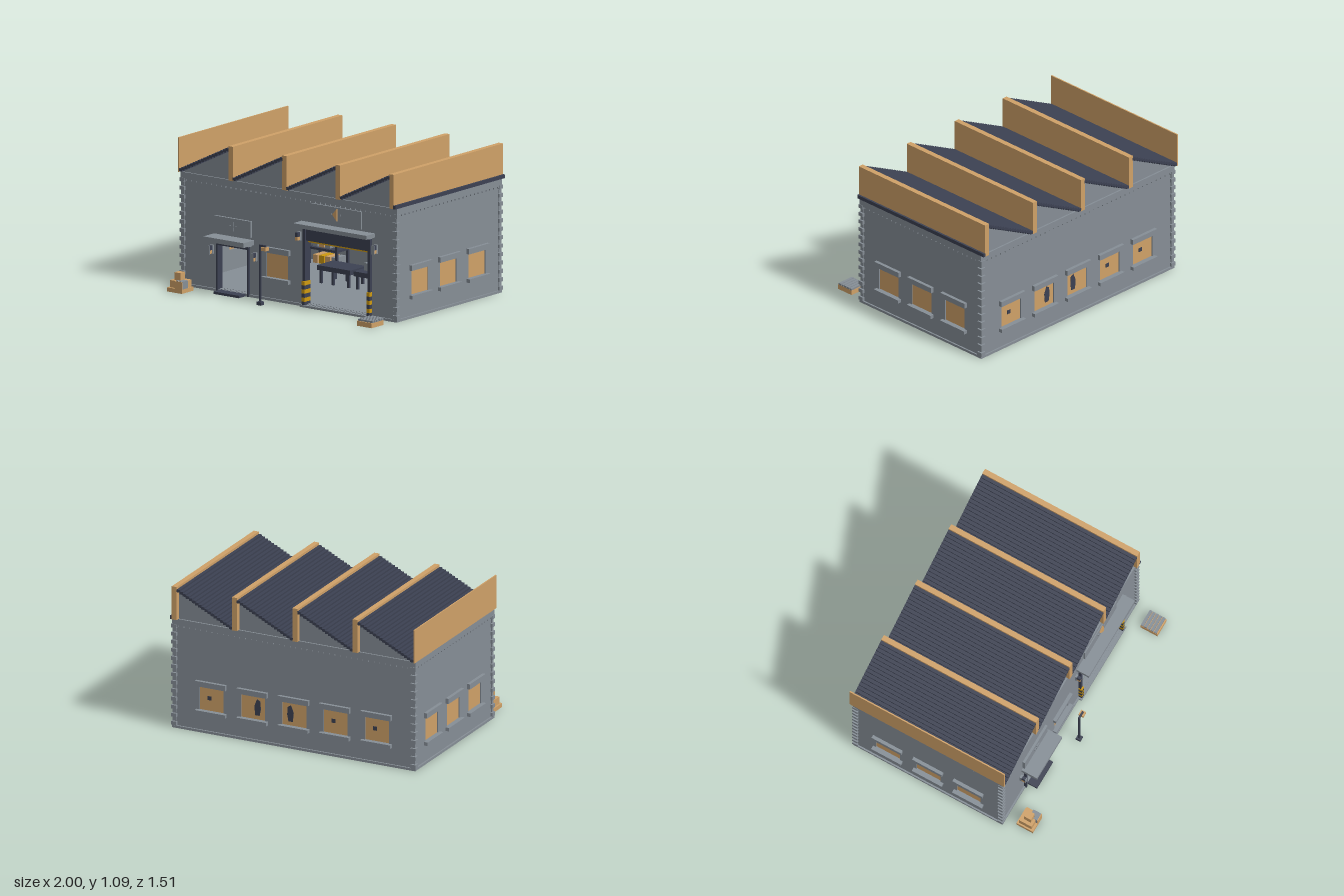
import * as THREE from 'three';

const mat = (name, color) => {
  const m = new THREE.MeshStandardMaterial({ color });
  m.name = name;
  return m;
};

export function createModel() {
  const gray = mat('wall gray', 0x868e96);
  const navy = mat('dark metal', 0x3c4152);
  const tan = mat('amber tan', 0xcfa168);
  const yellow = mat('hazard yellow', 0xcf9a10);

  const model = new THREE.Group();
  model.name = 'factory';
  const group = (name, parent = model) => {
    const g = new THREE.Group();
    g.name = name;
    parent.add(g);
    return g;
  };
  // Box given by its limits on each axis
  const box = (parent, name, m, x0, x1, y0, y1, z0, z1) => {
    const mesh = new THREE.Mesh(new THREE.BoxGeometry(x1 - x0, y1 - y0, z1 - z0), m);
    mesh.position.set((x0 + x1) / 2, (y0 + y1) / 2, (z0 + z1) / 2);
    mesh.name = name;
    parent.add(mesh);
  };
  // Flat outline extruded along z
  const plate = (parent, name, m, points, z0, depth) => {
    const s = new THREE.Shape(points.map(([x, y]) => new THREE.Vector2(x, y)));
    const mesh = new THREE.Mesh(new THREE.ExtrudeGeometry(s, { depth, bevelEnabled: false }), m);
    mesh.position.z = z0;
    mesh.name = name;
    parent.add(mesh);
  };
  const X = 0.97, ZF = 0.49, ZB = -0.72, T = 0.03, H = 0.835;

  // Walls: each is drawn facing +z with its outer face at local z = 0
  const wall = (name, half, openings, x, z, turn) => {
    const g = group(name);
    g.position.set(x, 0, z);
    g.rotation.y = turn;
    const s = new THREE.Shape();
    s.moveTo(-half, 0).lineTo(half, 0).lineTo(half, H).lineTo(-half, H).closePath();
    for (const [a, b, c, d] of openings) {
      const h = new THREE.Path();
      h.moveTo(a, c).lineTo(a, d).lineTo(b, d).lineTo(b, c).closePath();
      s.holes.push(h);
    }
    const geo = new THREE.ExtrudeGeometry(s, { depth: T, bevelEnabled: false });
    geo.translate(0, 0, -T);
    const mesh = new THREE.Mesh(geo, gray);
    mesh.name = 'wallPanel';
    g.add(mesh);
    // Cornice and dentils
    box(g, 'cornice', gray, -half - 0.01, half + 0.01, 0.785, H, 0, 0.012);
    const n = Math.round(half * 2 / 0.045);
    for (let i = 0; i < n; i++) {
      const cx = -half + (i + 0.5) * half * 2 / n;
      box(g, 'dentil', gray, cx - 0.015, cx + 0.015, 0.772, 0.785, 0, 0.009);
    }
    return g;
  };
  const opening = c => [c - 0.098, c + 0.098, 0.168, 0.355];
  const windowUnit = (parent, c) => {
    const g = group('window', parent);
    g.position.x = c;
    box(g, 'pane', tan, -0.098, 0.098, 0.168, 0.355, -0.022, -0.008);
    box(g, 'lintel', gray, -0.122, 0.122, 0.352, 0.392, -0.01, 0.025);
    box(g, 'sill', gray, -0.122, 0.122, 0.143, 0.17, -0.01, 0.03);
    return g;
  };

  const front = wall('frontWall', X, [[-0.65, -0.36, 0.02, 0.375], [0.14, 0.745, 0.02, 0.585], opening(-0.112)], 0, ZF, 0);
  windowUnit(front, -0.112);
  const backX = [-0.667, -0.333, 0, 0.333, 0.667];
  const back = wall('backWall', X, backX.map(opening), 0, ZB, Math.PI);
  // Broken panes on the back
  backX.forEach((c, i) => {
    const g = windowUnit(back, c);
    if (i === 1 || i === 2) {
      const k = i === 1 ? 1 : -1;
      const outline = [[0.015, 0.2], [0.05, 0.2], [0.06, 0.25], [0.055, 0.31], [0.03, 0.325], [0.008, 0.27]];
      plate(g, 'brokenPane', navy, outline.map(([x, y]) => [x * k, y]), -0.008, 0.003);
    } else box(g, 'brokenPane', navy, -0.034, -0.004, 0.25, 0.28, -0.01, -0.005);
  });
  const zc = (ZF + ZB) / 2, halfZ = (ZF - ZB) / 2;
  for (const s of [1, -1]) {
    const cs = [0.217, -0.115, -0.45].map(z => -s * (z - zc));
    const side = wall(s > 0 ? 'leftWall' : 'rightWall', halfZ, cs.map(opening), s * X, zc, s * Math.PI / 2);
    cs.forEach(c => windowUnit(side, c));
  }

  // Corner quoins, alternately long and short
  const quoins = group('quoins');
  for (const sx of [1, -1]) for (const z of [ZF, ZB]) for (let i = 0; i < 26; i++) {
    const r = i % 2 ? 0.013 : 0.021;
    const out = i % 2 ? 0.007 : 0.016;
    const y = 0.02 + i * 0.031;
    const cz = z + Math.sign(z) * (out - r), cx = sx * (X + out - r);
    box(quoins, 'quoin', gray, cx - r, cx + r, y, y + 0.028, cz - r, cz + r);
  }

  // Floor and plinth, with a narrow gap between them
  box(model, 'floor', gray, -0.935, 0.935, 0.008, 0.02, -0.665, 0.455);
  for (const s of [1, -1]) box(model, 'plinth', gray, s * 0.97 - 0.012, s * 0.97 + 0.012, 0, 0.018, ZB - 0.01, ZF + 0.01);
  for (const z of [ZB, ZF]) box(model, 'plinth', gray, -0.98, 0.98, 0, 0.018, z - 0.012, z + 0.012);

  // Sawtooth roof
  const roof = group('roof'), z0 = -0.757, z1 = 0.52, steps = 18;
  box(roof, 'endGlazing', tan, -0.99, -0.98, H, 1.088, z0, z1);
  box(roof, 'eaveStrip', navy, 0.965, 0.985, H, 0.862, z0, z1);
  for (let t = 0; t < 4; t++) {
    const a = -0.98 + t * 0.4865, b = a + 0.45, w = (b - a) / steps;
    const tooth = group('roofTooth', roof);
    for (const z of [ZF - T, ZB]) plate(tooth, 'gable', gray, [[a, H], [b, H], [b, 1.056]], z, T);
    for (let i = 0; i < steps; i++) {
      const y = H + 0.005 + i * 0.0123;
      box(tooth, 'roofSlat', navy, a + i * w, a + (i + 1) * w + 0.002, y, y + 0.021, z0, z1);
    }
    box(tooth, 'glazing', tan, b, b + 0.04, H, 1.088, z0, z1);
  }

  // Entrance door surround
  const entry = group('entrance');
  box(entry, 'canopy', gray, -0.685, -0.32, 0.385, 0.42, ZF, 0.615);
  box(entry, 'canopyBracket', gray, -0.66, -0.34, 0.372, 0.386, ZF, 0.53);
  box(entry, 'signBoard', gray, -0.67, -0.34, 0.437, 0.557, ZF, 0.508);
  box(entry, 'signOrnament', gray, -0.535, -0.465, 0.492, 0.502, 0.508, 0.513);
  box(entry, 'signOrnament', gray, -0.505, -0.495, 0.462, 0.532, 0.508, 0.513);
  for (const x of [-0.652, -0.372]) box(entry, 'doorPost', navy, x, x + 0.016, 0, 0.378, 0.455, 0.51);
  box(entry, 'doorHead', navy, -0.652, -0.356, 0.345, 0.378, 0.455, 0.51);
  box(entry, 'doorStep', navy, -0.62, -0.39, 0, 0.018, ZF, 0.58);

  // Loading door surround
  const gate = group('loadingDoor');
  box(gate, 'canopy', gray, 0.11, 0.775, 0.595, 0.625, ZF, 0.59);
  box(gate, 'canopyBracket', gray, 0.13, 0.755, 0.584, 0.596, ZF, 0.53);
  box(gate, 'signBoard', gray, 0.205, 0.66, 0.64, 0.77, ZF, 0.506);
  plate(gate, 'signOrnament', tan, [[0.41, 0.718], [0.45, 0.672], [0.45, 0.764]], 0.506, 0.014);
  for (const x of [0.385, 0.465]) box(gate, 'signStud', gray, x, x + 0.014, 0.711, 0.725, 0.506, 0.511);
  box(gate, 'rolledShutter', navy, 0.155, 0.735, 0.488, 0.585, 0.44, 0.5);
  box(gate, 'shutterEdge', yellow, 0.17, 0.715, 0.477, 0.488, 0.455, 0.495);
  box(gate, 'threshold', gray, 0.12, 0.765, 0, 0.016, ZF, 0.525);
  for (const x of [0.135, 0.725]) {
    box(gate, 'doorPost', navy, x, x + 0.022, 0, 0.585, 0.455, 0.51);
    for (let i = 0; i < 6; i++)
      box(gate, 'hazardBand', i % 2 ? yellow : navy, x - 0.002, x + 0.026, 0.01 + i * 0.03, 0.04 + i * 0.03, 0.452, 0.52);
  }

  // Wall lamps beside both doors, all but one with a front cover
  for (const [x, y, covered] of [[-0.7, 0.27, 1], [-0.305, 0.27, 1], [0.095, 0.48, 0], [0.79, 0.48, 1]]) {
    const g = group('wallLamp');
    box(g, 'backPlate', gray, x - 0.013, x + 0.013, y, y + 0.065, ZF, 0.505);
    box(g, 'lampHood', navy, x - 0.011, x + 0.011, y + 0.03, y + 0.062, 0.505, 0.533);
    box(g, 'lampBulb', tan, x - 0.01, x + 0.01, y + 0.004, y + 0.03, 0.505, 0.532);
    if (covered) box(g, 'lampCover', gray, x - 0.013, x + 0.013, y, y + 0.065, 0.533, 0.537);
  }

  // Street lamp
  const post = group('streetLamp');
  box(post, 'base', navy, -0.157, -0.119, 0, 0.025, 0.634, 0.672);
  box(post, 'pole', navy, -0.145, -0.131, 0.02, 0.44, 0.646, 0.66);
  box(post, 'arm', navy, -0.145, -0.085, 0.43, 0.444, 0.646, 0.66);
  box(post, 'lampHead', tan, -0.115, -0.075, 0.405, 0.431, 0.634, 0.673);

  // Crate pile outside
  const pile = group('cratePile');
  box(pile, 'lowCrate', tan, -0.93, -0.797, 0, 0.03, 0.587, 0.722);
  box(pile, 'crate', tan, -0.918, -0.803, 0.03, 0.083, 0.6, 0.705);
  box(pile, 'smallCrate', tan, -0.893, -0.838, 0.083, 0.14, 0.63, 0.685);
  box(pile, 'stoneBlock', gray, -0.837, -0.797, 0.03, 0.087, 0.652, 0.716);
  box(pile, 'stoneBlock', gray, -0.858, -0.837, 0.03, 0.087, 0.686, 0.716);
  box(pile, 'blockFront', tan, -0.86, -0.797, 0.03, 0.085, 0.716, 0.722);

  // Pallet outside
  const pallet = group('pallet');
  box(pallet, 'palletBase', tan, 0.816, 0.95, 0, 0.036, 0.612, 0.752);
  for (let i = 0; i < 5; i++) box(pallet, 'slat', gray, 0.818, 0.95, 0.036, 0.05, 0.614 + i * 0.027, 0.635 + i * 0.027);

  // Storage shelf inside
  const shelf = group('shelf');
  for (const x of [-0.64, -0.39]) for (const z of [-0.688, -0.56]) box(shelf, 'upright', navy, x, x + 0.018, 0, 0.36, z, z + 0.018);
  for (const y of [0.13, 0.23, 0.34]) box(shelf, 'shelfBoard', navy, -0.64, -0.372, y, y + 0.016, -0.688, -0.54);
  box(shelf, 'backPanel', navy, -0.64, -0.372, 0.23, 0.35, -0.688, -0.68);
  [tan, yellow, tan, gray, gray, tan, gray].forEach((m, i) => {
    const x = -0.61 + (i % 4) * 0.055, y = i < 4 ? 0.024 : 0.146;
    box(shelf, 'storedBox', m, x, x + 0.042, y, y + 0.06, -0.686, -0.57);
  });

  // Workbenches inside
  const bench = group('workbenches');
  for (const x0 of [-0.2, 0.13]) {
    box(bench, 'benchTop', navy, x0, x0 + 0.3, 0.115, 0.15, -0.28, -0.09);
    for (const x of [0.02, 0.13, 0.27]) for (const z of [-0.27, -0.11])
      box(bench, 'benchLeg', navy, x0 + x, x0 + x + 0.018, 0.01, 0.115, z, z + 0.018);
  }
  box(bench, 'toolBox', gray, 0.17, 0.24, 0.15, 0.205, -0.24, -0.16);
  box(bench, 'toolBox', gray, 0.31, 0.39, 0.15, 0.22, -0.25, -0.17);
  box(bench, 'drillColumn', navy, 0.24, 0.3, 0.15, 0.31, -0.24, -0.18);
  box(bench, 'canister', yellow, 0.4, 0.428, 0.15, 0.23, -0.21, -0.17);

  // Crates and machine inside
  const store = group('insideCrates');
  box(store, 'crate', tan, 0.55, 0.69, 0.002, 0.055, -0.2, -0.08);
  box(store, 'crate', tan, 0.57, 0.67, 0.055, 0.11, -0.18, -0.1);
  for (const [x, z] of [[0.82, -0.03], [-0.82, -0.33], [-0.87, 0.41]]) box(store, 'crate', tan, x - 0.055, x + 0.055, 0.002, 0.09, z - 0.05, z + 0.04);
  box(store, 'machineColumn', navy, 0.67, 0.72, 0.02, 0.29, -0.5, -0.42);
  return model;
}
